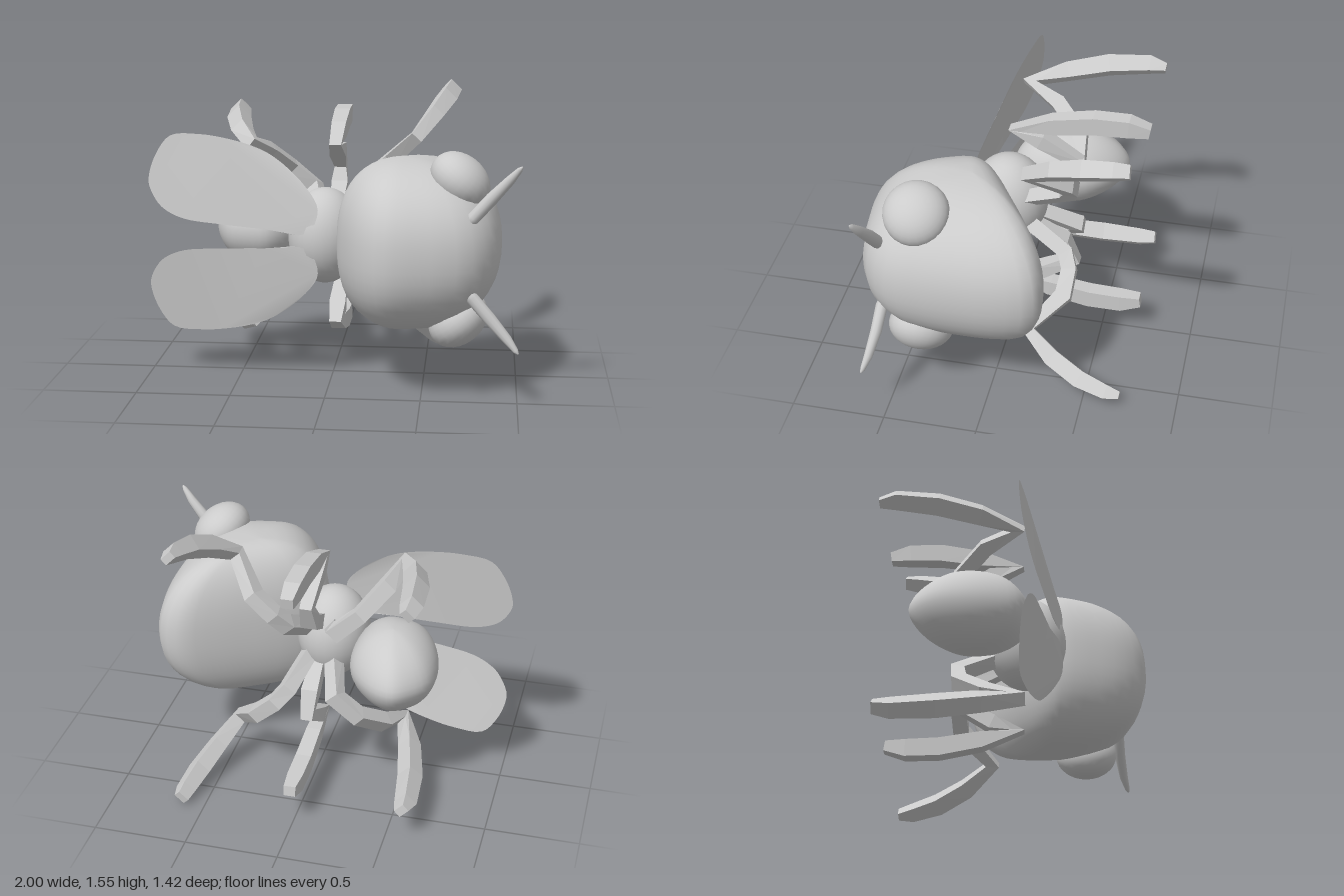
import * as THREE from 'three';

const V = (x, y, z) => new THREE.Vector3(x, y, z);

// Skin a list of equal-sized point rings and close both ends
function loft(rings) {
  const n = rings[0].length, pos = [], index = [];
  for (const ring of rings) for (const p of ring) pos.push(p.x, p.y, p.z);
  for (let j = 0; j < rings.length - 1; j++) {
    for (let i = 0; i < n; i++) {
      const a = j * n + i, b = j * n + (i + 1) % n;
      index.push(a, b, a + n, b, b + n, a + n);
    }
  }
  const last = rings.length - 1;
  for (const [j, flip] of [[0, true], [last, false]]) {
    const c = rings[j].reduce((s, p) => s.add(p), V(0, 0, 0)).divideScalar(n);
    const k = pos.length / 3;
    pos.push(c.x, c.y, c.z);
    for (let i = 0; i < n; i++) {
      const a = j * n + i, b = j * n + (i + 1) % n;
      index.push(k, flip ? b : a, flip ? a : b);
    }
  }
  const g = new THREE.BufferGeometry();
  g.setAttribute('position', new THREE.Float32BufferAttribute(pos, 3));
  g.setIndex(index);
  g.computeVertexNormals();
  return g;
}

// Rounded body: an x/z outline shrinking towards a centre above and below;
// roundness(p) is the superellipse power at an outline point
function pebble(outline, center, halfHeight, roundness) {
  const curve = new THREE.CatmullRomCurve3(outline.map(([x, z]) => V(x, 0, z)), true);
  const base = curve.getPoints(40).slice(0, 40);
  const c = V(center[0], 0, center[1]), rings = [];
  for (let j = 0; j <= 24; j++) {
    const u = Math.sin((j / 24 - 0.5) * Math.PI * 0.99);
    rings.push(base.map(p => {
      const power = roundness(p);
      const s = (1 - Math.abs(u) ** power) ** (1 / power);
      return p.clone().sub(c).multiplyScalar(s).add(c).setY(u * halfHeight);
    }));
  }
  return loft(rings);
}

// Limb along a path; each point is [x, y, z, half width, half thickness]
function limb(path, side, sides) {
  const pts = path.map(p => V(p[0], p[1], p[2]));
  const rings = pts.map((p, i) => {
    const t = V(0, 0, 0);
    if (i > 0) t.add(p.clone().sub(pts[i - 1]).normalize());
    if (i < pts.length - 1) t.add(pts[i + 1].clone().sub(p).normalize());
    t.normalize();
    const n = t.clone().cross(side).normalize();
    const s = n.clone().cross(t);
    const k = 1 / Math.cos(Math.PI / sides);
    return Array.from({ length: sides }, (_, q) => {
      const a = (q + 0.5) / sides * Math.PI * 2;
      return p.clone()
        .addScaledVector(s, Math.cos(a) * k * path[i][3])
        .addScaledVector(n, Math.sin(a) * k * path[i][4]);
    });
  });
  return loft(rings);
}

export function createModel() {
  const model = new THREE.Group();
  model.name = 'insect';
  // The body's plane of symmetry lies flat at this height
  const body = new THREE.Group();
  body.name = 'body';
  body.position.y = 0.778;
  model.add(body);

  const smooth = new THREE.MeshStandardMaterial({ color: 0xcccccc });
  const faceted = new THREE.MeshStandardMaterial({ color: 0xcccccc, flatShading: true });
  const thin = new THREE.MeshStandardMaterial({ color: 0xcccccc, side: THREE.DoubleSide });

  const add = (parent, name, geometry, material) => {
    const mesh = new THREE.Mesh(geometry, material);
    mesh.name = name;
    parent.add(mesh);
    return mesh;
  };

  // Head: boxier at the neck, rounder at the face
  add(body, 'head', pebble([
    [0.04, 0.24], [0.09, 0.42], [0.17, 0.58], [0.29, 0.69], [0.44, 0.70], [0.73, 0.64],
    [0.86, 0.50], [0.90, 0.33], [0.91, 0.10], [0.90, -0.10], [0.85, -0.27], [0.73, -0.30],
    [0.60, -0.24], [0.42, -0.13], [0.16, 0.04], [0.07, 0.14],
  ], [0.4, 0.14], 0.452, p => 2.5 - 0.35 * p.x), smooth);

  const thorax = add(body, 'thorax', new THREE.SphereGeometry(1, 28, 18), smooth);
  thorax.scale.set(0.2, 0.26, 0.215);
  thorax.position.set(-0.04, 0, 0.045);

  // Abdomen: tapers to a blunt point at the back
  add(body, 'abdomen', pebble([
    [-0.49, -0.55], [-0.57, -0.50], [-0.65, -0.40], [-0.67, -0.25], [-0.64, -0.10],
    [-0.57, 0.02], [-0.45, 0.07], [-0.34, 0.08], [-0.24, 0.00], [-0.20, -0.18],
    [-0.22, -0.33], [-0.30, -0.45], [-0.40, -0.53],
  ], [-0.43, -0.25], 0.225, p => 2 + 0.6 * p.z), smooth);

  // Everything below comes in mirrored pairs
  const half = new THREE.Group();

  const eye = add(half, 'eye', new THREE.SphereGeometry(1, 24, 16), smooth);
  eye.scale.set(0.17, 0.13, 0.172);
  eye.position.set(0.688, 0.367, 0.362);
  eye.rotation.z = -0.7;

  add(half, 'antenna', limb([
    [0.735, 0.18, 0.545, 0.024, 0.024], [0.76, 0.208, 0.55, 0.032, 0.031],
    [0.85, 0.31, 0.56, 0.032, 0.029], [0.94, 0.41, 0.582, 0.024, 0.022],
    [0.985, 0.465, 0.602, 0.014, 0.013], [0.998, 0.48, 0.608, 0.004, 0.004],
  ], V(0.7, -0.7, 0), 10), smooth);

  // Wing: a flat leaf, tilted by a rule and bent up at the root
  const edge = new THREE.CatmullRomCurve3([
    [-0.06, 0.17], [-0.13, 0.29], [-0.31, 0.44], [-0.44, 0.495], [-0.60, 0.53],
    [-0.72, 0.542], [-0.88, 0.53], [-0.96, 0.43], [-0.998, 0.32], [-0.998, 0.26],
    [-0.95, 0.17], [-0.90, 0.127], [-0.80, 0.087], [-0.60, 0.067], [-0.35, 0.052], [-0.12, 0.042],
  ].map(([x, y]) => V(x, y, 0)), true, 'centripetal').getPoints(64);
  const wing = new THREE.ShapeGeometry(new THREE.Shape(edge.slice(0, 64).map(p => new THREE.Vector2(p.x, p.y))));
  const wp = wing.attributes.position;
  for (let i = 0; i < wp.count; i++) {
    const x = wp.getX(i), bend = 0.4 * Math.max(0, x + 0.35) ** 2;
    wp.setZ(i, 0.228 + 0.145 * x - 0.13 * (wp.getY(i) - 0.06) + bend);
  }
  wing.computeVertexNormals();
  add(half, 'wing', wing, thin);

  // Legs: hip, elbow, knee, then a broad flat lower leg
  add(half, 'frontLeg', limb([
    [0.06, 0.08, -0.08, 0.035, 0.04], [0.13, 0.20, -0.30, 0.04, 0.042],
    [0.19, 0.27, -0.335, 0.04, 0.04], [0.30, 0.365, -0.325, 0.038, 0.045],
    [0.44, 0.51, -0.16, 0.034, 0.036],
    [0.53, 0.615, -0.31, 0.04, 0.045], [0.59, 0.685, -0.47, 0.045, 0.046],
    [0.62, 0.722, -0.62, 0.04, 0.038], [0.622, 0.73, -0.695, 0.034, 0.02],
  ], V(0.7, -0.7, 0), 4), faceted);

  add(half, 'middleLeg', limb([
    [0.012, 0.12, -0.08, 0.035, 0.04], [0.012, 0.22, -0.27, 0.045, 0.042],
    [0.012, 0.33, -0.325, 0.032, 0.042], [0.012, 0.44, -0.14, 0.045, 0.04],
    [0.012, 0.487, 0.0, 0.032, 0.032], [0.012, 0.54, -0.2, 0.04, 0.045],
    [0.012, 0.578, -0.42, 0.043, 0.05], [0.012, 0.582, -0.6, 0.042, 0.048],
    [0.012, 0.565, -0.71, 0.032, 0.028],
  ], V(1, 0, 0), 4), faceted);

  add(half, 'rearLeg', limb([
    [-0.07, 0.08, -0.08, 0.035, 0.04], [-0.135, 0.20, -0.315, 0.042, 0.042],
    [-0.26, 0.31, -0.30, 0.038, 0.042], [-0.37, 0.42, -0.16, 0.042, 0.04],
    [-0.44, 0.49, 0.015, 0.036, 0.036], [-0.52, 0.535, -0.18, 0.044, 0.044],
    [-0.57, 0.575, -0.40, 0.048, 0.048], [-0.592, 0.592, -0.62, 0.042, 0.042],
    [-0.588, 0.582, -0.708, 0.032, 0.022],
  ], V(0.7, 0.7, 0), 4), faceted);

  half.name = 'upperParts';
  const mirrored = half.clone();
  mirrored.name = 'lowerParts';
  mirrored.scale.y = -1;
  body.add(half, mirrored);

  return model;
}
